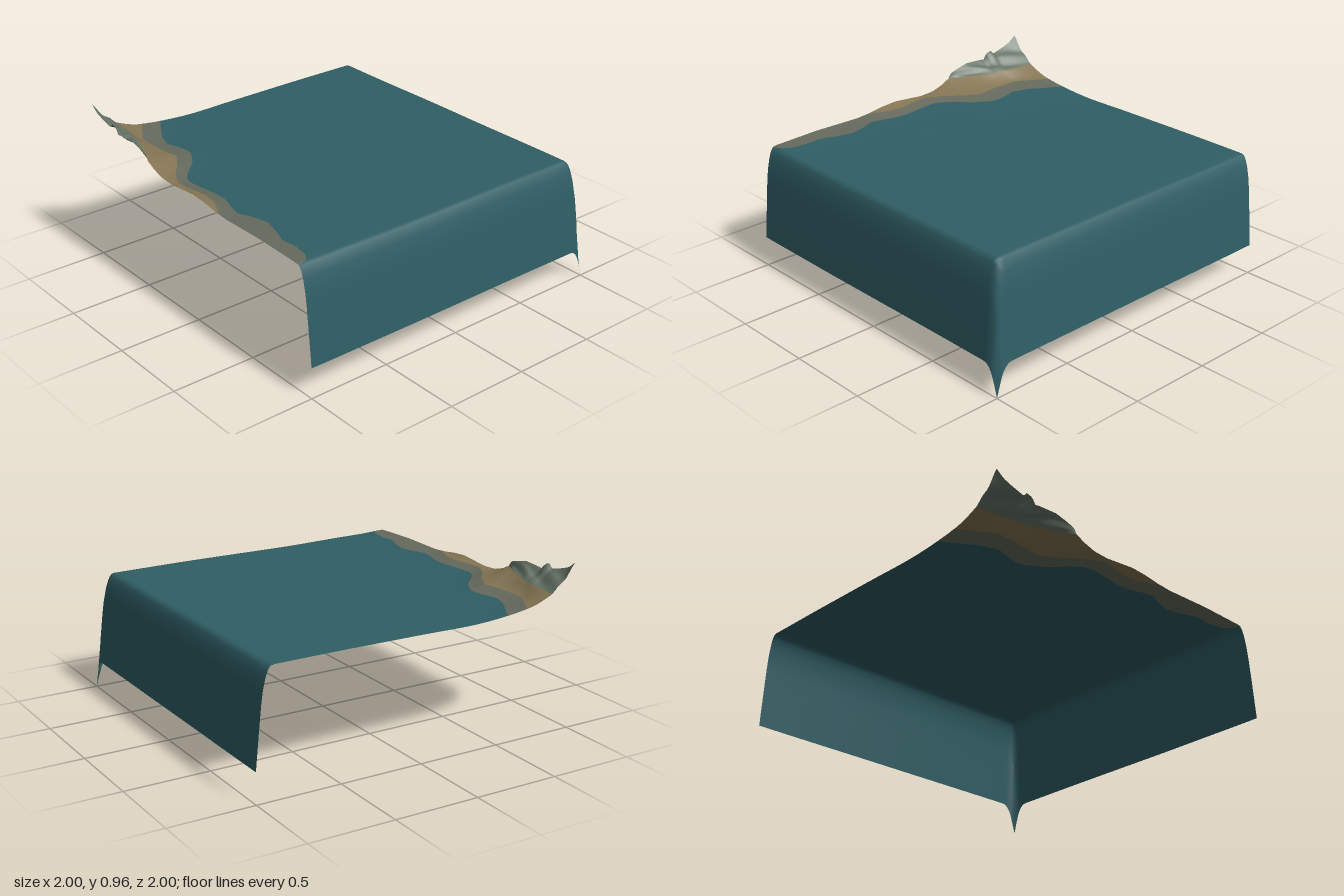
import * as THREE from 'three';

// Piecewise-linear lookup through [position, value] pairs
function lookup(pts, p) {
  if (p <= pts[0][0]) return pts[0][1];
  for (let i = 1; i < pts.length; i++) {
    const [a, va] = pts[i - 1], [b, vb] = pts[i];
    if (p <= b) return va + (vb - va) * (p - a) / (b - a);
  }
  return pts[pts.length - 1][1];
}

// Shoreline contours: x as a function of z
const WATERLINE = [[-1, -0.55], [-0.9, -0.61], [-0.8, -0.67], [-0.7, -0.7], [-0.6, -0.67], [-0.55, -0.662],
  [-0.5, -0.67], [-0.4, -0.73], [-0.3, -0.83], [-0.25, -0.87], [-0.2, -0.885], [-0.1, -0.875], [0, -0.86],
  [0.1, -0.86], [0.2, -0.89], [0.27, -0.905], [0.35, -0.87], [0.45, -0.845], [0.55, -0.87], [0.65, -0.905],
  [0.75, -0.895], [0.85, -0.91], [0.89, -0.94], [0.905, -1]];
const SANDLINE = [[-1, -0.68], [-0.93, -0.72], [-0.85, -0.77], [-0.8, -0.795], [-0.6, -0.79], [-0.5, -0.77],
  [-0.4, -0.83], [-0.3, -0.91], [-0.2, -0.96], [-0.1, -0.95], [0, -0.93], [0.1, -0.94], [0.18, -0.97], [0.22, -1]];
const ROCKLINE = [[-1, -0.85], [-0.9, -0.86], [-0.8, -0.87], [-0.7, -0.89], [-0.6, -0.93], [-0.5, -0.965], [-0.43, -1]];

// Height of the open left border along z
const RIDGE = [[-1, 0.965], [-0.95, 0.928], [-0.9, 0.91], [-0.81, 0.885], [-0.79, 0.91], [-0.75, 0.9],
  [-0.73, 0.865], [-0.7, 0.87], [-0.58, 0.876], [-0.5, 0.857], [-0.45, 0.842], [-0.43, 0.812], [-0.38, 0.785],
  [-0.3, 0.76], [-0.2, 0.754], [-0.1, 0.763], [0, 0.772], [0.1, 0.765], [0.2, 0.75], [0.3, 0.742],
  [0.6, 0.746], [0.9, 0.736]];

// Falloff of the front and side skirts; both multiply at the corner
const DROP = [[0.89, 1], [0.91, 0.994], [0.925, 0.97], [0.94, 0.92], [0.955, 0.84], [0.965, 0.755], [0.98, 0.58], [1, 0.327]];
const FLOOR = -0.087;

const mix = (a, b, t) => a + (b - a) * t;
const seaLevel = (x, z) => 0.728 - 0.01 * Math.exp(-(((x + 0.35) / 0.25) ** 2)) * (0.7 - 0.3 * z)
  + 0.0015 * Math.sin(6 * x + 2 * z) * Math.sin(5 * z - x);

// One cross-section at z: points from the left border to the right skirt
function section(z) {
  const edge = lookup(RIDGE, z);
  const xa = lookup(WATERLINE, z), xb = lookup(SANDLINE, z), xc = lookup(ROCKLINE, z);
  const ha = Math.min(0.736, edge), hb = Math.min(0.753, edge), hc = Math.min(0.81, edge);
  const row = [];
  for (let i = 0; i < 8; i++) { // rock
    const t = i / 8;
    const crag = 0.012 * Math.sin(23 * z + 7 * t) * Math.sin(Math.PI * t) * Math.min(1, (xc + 1) * 10);
    row.push([mix(-1, xc, t), mix(hc, edge, (1 - t) ** 1.2) + crag]);
  }
  for (let i = 0; i < 6; i++) { // upper sand
    const t = i / 6;
    row.push([mix(xc, xb, t), mix(hb, hc, (1 - t) ** 1.4)]);
  }
  for (let i = 0; i < 4; i++) { // wet sand
    const t = i / 4;
    row.push([mix(xb, xa, t), mix(ha, hb, (1 - t) ** 1.2)]);
  }
  for (let i = 0; i < 30; i++) { // water
    const t = i / 30, x = mix(xa, 0.89, t ** 1.2);
    const sea = seaLevel(x, z);
    row.push([x, sea + (ha - sea) * Math.exp(-(x - xa) / 0.12)]);
  }
  for (const [x] of DROP) row.push([x, seaLevel(x, z)]); // side skirt
  return row.map(([x, h]) => [x, FLOOR + (h - FLOOR) * lookup(DROP, x) * lookup(DROP, z)]);
}

export function createModel() {
  const group = new THREE.Group();

  // Rows are denser where the front skirt bends
  const zs = [];
  for (let i = 0; i < 126; i++) zs.push(-1 + i * 0.015);
  for (const [z] of DROP) zs.push(z);
  const rows = zs.map(section);
  const cols = rows[0].length;

  const position = [];
  rows.forEach((row, r) => row.forEach(([x, y]) => position.push(x, y, zs[r])));

  // Index of the cells between two columns, leaving out collapsed triangles
  function cells(from, to) {
    const index = [];
    for (let r = 0; r < rows.length - 1; r++) {
      for (let c = from; c < to; c++) {
        const a = r * cols + c, b = a + 1, d = a + cols, e = d + 1;
        if (rows[r][c + 1][0] - rows[r][c][0] > 1e-6) index.push(a, d, b);
        if (rows[r + 1][c + 1][0] - rows[r + 1][c][0] > 1e-6) index.push(b, d, e);
      }
    }
    return index;
  }

  // Shared surface so that shading is continuous across the colour bands
  const surface = new THREE.BufferGeometry();
  surface.setAttribute('position', new THREE.Float32BufferAttribute(position, 3));
  surface.setIndex(cells(0, cols - 1));
  surface.computeVertexNormals();

  const bands = [
    ['rockySlope', 'rock grey', 0x667467, 0, 8],
    ['upperSand', 'dry sand', 0x857654, 8, 14],
    ['shoreline', 'wet sand', 0x666a5d, 14, 18],
    ['waterAndSkirts', 'deep teal', 0x2f5e65, 18, cols - 1],
  ];
  for (const [name, colourName, color, from, to] of bands) {
    const geometry = new THREE.BufferGeometry();
    geometry.setAttribute('position', surface.getAttribute('position'));
    geometry.setAttribute('normal', surface.getAttribute('normal'));
    geometry.setIndex(cells(from, to));
    const material = new THREE.MeshStandardMaterial({ color, side: THREE.DoubleSide });
    material.name = colourName;
    const mesh = new THREE.Mesh(geometry, material);
    mesh.name = name;
    group.add(mesh);
  }
  return group;
}
